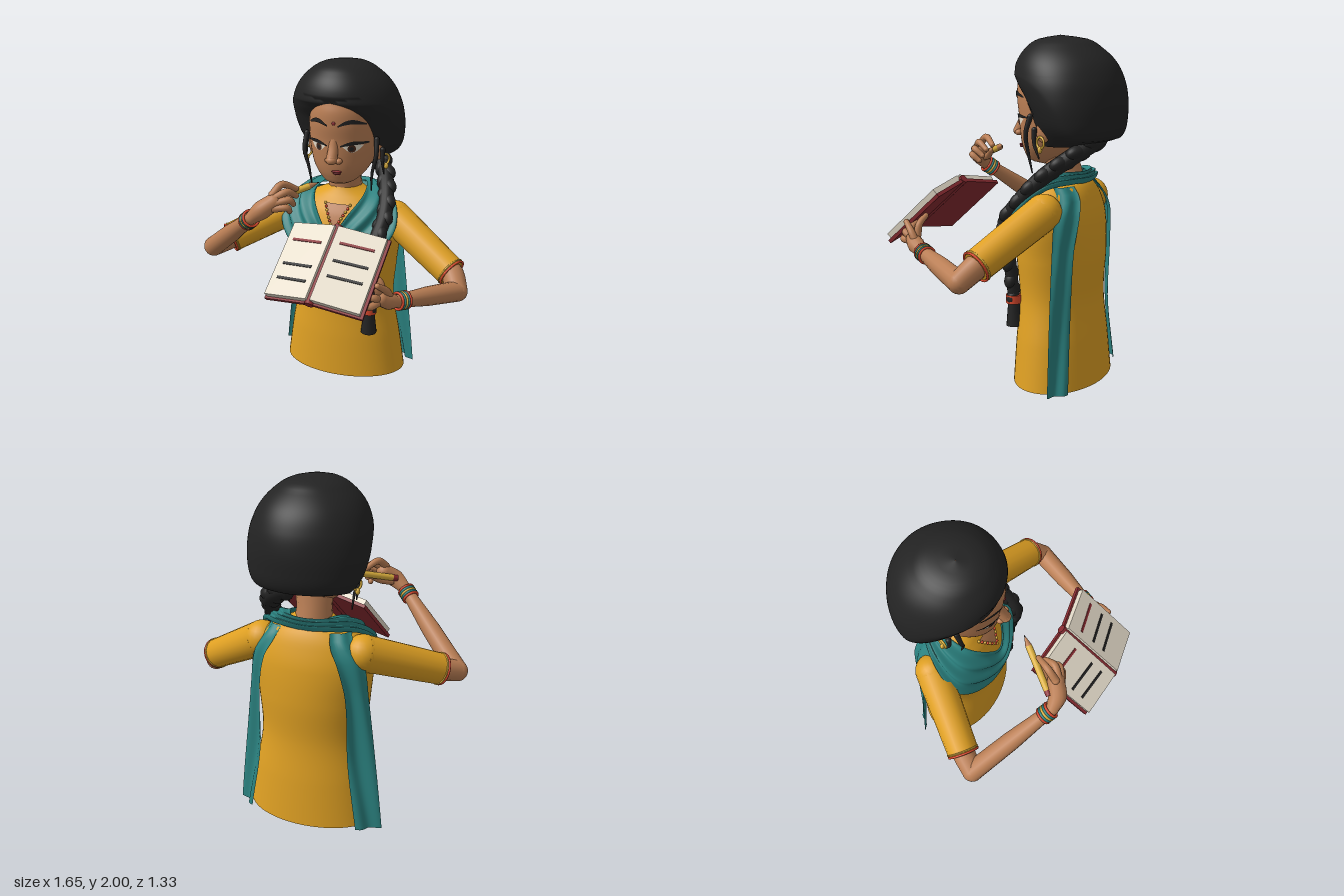
import * as THREE from 'three';
import { ParametricGeometry } from 'three/addons/geometries/ParametricGeometry.js';

const V = (x, y, z) => new THREE.Vector3(x, y, z);
const { lerp, smoothstep, clamp } = THREE.MathUtils;
const paint = (name, color, side = THREE.FrontSide) => {
  const m = new THREE.MeshStandardMaterial({ color, side });
  m.name = name;
  return m;
};

// Cross-section tables: [y, half width, front z, back z]
const TORSO = [[0, .40, -.052, -.575], [.25, .362, -.06, -.555], [.5, .32, -.072, -.532], [.75, .338, -.052, -.542],
  [.95, .355, -.07, -.53], [1.07, .32, -.11, -.5], [1.15, .24, -.16, -.465], [1.2, .13, -.19, -.42], [1.225, .095, -.2, -.4]];
const HEAD = [[1.262, .02, -.17, -.22], [1.28, .08, -.1, -.28], [1.32, .13, -.07, -.36], [1.38, .172, -.052, -.42],
  [1.46, .2, -.042, -.48], [1.55, .215, -.035, -.52], [1.65, .215, -.022, -.54], [1.75, .2, -.03, -.53],
  [1.85, .15, -.09, -.46], [1.9, .02, -.25, -.3]];
const HAIR = [[1.38, .24, -.24, -.54], [1.41, .29, -.19, -.605], [1.46, .325, -.13, -.645], [1.55, .345, -.07, -.662],
  [1.65, .347, -.025, -.664], [1.75, .33, -.012, -.645], [1.85, .285, -.025, -.595], [1.93, .21, -.075, -.51],
  [1.98, .12, -.15, -.42], [2.0, .001, -.269, -.271]];
// Hairline: [y, angle from the front]
const HAIRLINE = [[1.38, 1.75], [1.43, 1.6], [1.5, 1.38], [1.6, 1.17], [1.68, .95], [1.74, .6], [1.765, .3], [1.78, 0], [2.0, 0]];

// Smooth interpolation of a table at height y
function at(rows, y) {
  const n = rows.length - 1;
  let i = 0;
  while (i < n - 1 && y > rows[i + 1][0]) i++;
  const a = rows[i], b = rows[i + 1], h = b[0] - a[0], t = clamp((y - a[0]) / h, 0, 1);
  const p = rows[Math.max(i - 1, 0)], q = rows[Math.min(i + 2, n)];
  return a.slice(1).map((_, j) => {
    const k = j + 1, m0 = (b[k] - p[k]) / (b[0] - p[0]) * h, m1 = (q[k] - a[k]) / (q[0] - a[0]) * h;
    const t2 = t * t, t3 = t2 * t;
    return (2 * t3 - 3 * t2 + 1) * a[k] + (t3 - 2 * t2 + t) * m0 + (3 * t2 - 2 * t3) * b[k] + (t3 - t2) * m1;
  });
}
function ringPoint(rows, cx, y, a) {
  const [hx, f, b] = at(rows, y);
  return V(cx + hx * Math.sin(a), y, (f + b) / 2 + (f - b) / 2 * Math.cos(a));
}
function frontZ(rows, cx, x, y) {
  const [hx, f, b] = at(rows, y), s = clamp((x - cx) / hx, -1, 1);
  return (f + b) / 2 + (f - b) / 2 * Math.sqrt(1 - s * s);
}

export function createModel() {
  const model = new THREE.Group();
  const kurta = paint('saffron cloth', 0xdfa023), teal = paint('teal cloth', 0x2b8280, THREE.DoubleSide);
  const skin = paint('skin', 0xbb7f55), black = paint('black hair', 0x232323, THREE.DoubleSide);
  const page = paint('paper', 0xe8dfcd), maroon = paint('maroon', 0x8a2c32), coral = paint('coral', 0xd8482c);
  const gold = paint('gold', 0xdcb03e), brown = paint('brown', 0x4a2a1c);

  const add = (name, geo, mat, pos) => {
    const m = new THREE.Mesh(geo, mat);
    m.name = name;
    if (pos) m.position.copy(pos);
    model.add(m);
    return m;
  };
  const surface = (name, mat, nu, nv, f) => add(name, new ParametricGeometry((u, v, t) => t.copy(f(u, v)), nu, nv), mat);
  const loft = (name, mat, rows, cx) => surface(name, mat, 48, 48, (u, v) =>
    ringPoint(rows, cx, lerp(rows[0][0], rows.at(-1)[0], v), u * Math.PI * 2 + Math.PI));
  const ball = (name, mat, p, x, y = x, z = x) => {
    const m = add(name, new THREE.SphereGeometry(1, 20, 14), mat, p);
    m.scale.set(x, y, z);
    return m;
  };
  // Tapered tube through points, rounded at both ends
  const limb = (name, mat, pts, radii, seg = 24) => {
    const curve = new THREE.CatmullRomCurve3(pts), geo = new THREE.TubeGeometry(curve, seg, 1, 14);
    const pos = geo.attributes.position, p = V();
    for (let i = 0; i < pos.count; i++) {
      const t = Math.floor(i / 15) / seg, c = curve.getPointAt(t);
      const s = t * (radii.length - 1), k = Math.min(Math.floor(s), radii.length - 2);
      p.fromBufferAttribute(pos, i).sub(c).multiplyScalar(lerp(radii[k], radii[k + 1], s - k)).add(c);
      pos.setXYZ(i, p.x, p.y, p.z);
    }
    add(name, geo, mat);
    ball(name + 'Start', mat, pts[0], radii[0]);
    ball(name + 'End', mat, pts.at(-1), radii.at(-1));
  };
  const rod = (name, mat, p, q, r0, r1) => {
    const d = q.clone().sub(p);
    const m = add(name, new THREE.CylinderGeometry(r1, r0, d.length(), 16), mat, p.clone().add(q).multiplyScalar(.5));
    m.quaternion.setFromUnitVectors(V(0, 1, 0), d.normalize());
  };
  const ring = (name, mat, p, dir, R, r) => add(name, new THREE.TorusGeometry(R, r, 8, 28), mat, p)
    .quaternion.setFromUnitVectors(V(0, 0, 1), dir);
  // Thin face lying on a body; f(u) gives [x, lower y, upper y]
  const decal = (name, mat, rows, cx, off, f) => surface(name, mat, 20, 8, (u, v) => {
    const [x, lo, hi] = f(u), y = lerp(lo, hi + .002, v);
    return V(x, y, frontZ(rows, cx, x, y) + off);
  });

  // Torso, neck and V neckline with beads
  loft('tunic', kurta, TORSO, -.025);
  const base = add('tunicBase', new THREE.CircleGeometry(1, 48).rotateX(Math.PI / 2), kurta, V(-.025, 0, -.3135));
  base.scale.set(.4, 1, .2615);
  limb('neck', skin, [V(-.03, 1.14, -.32), V(-.03, 1.25, -.3), V(-.02, 1.38, -.28)], [.115, .1, .11]);
  decal('neckline', skin, TORSO, -.025, .012, u => [lerp(-.1, .06, u), .985 + .15 * Math.abs(2 * u - 1), 1.135]);
  for (let i = 0; i <= 16; i++) {
    const x = lerp(-.1, .06, i / 16), y = .985 + .15 * Math.abs(i / 8 - 1);
    ball('neckBead', i % 2 ? coral : gold, V(x, y, frontZ(TORSO, -.025, x, y) + .012), .009);
  }

  // Shawl: draped cowl and two tails down the back
  const loop = half => new THREE.CatmullRomCurve3([...half, ...half.slice(1, -1).reverse().map(p => [-p[0], p[1], p[2]])]
    .map(p => V(p[0] - .03, p[1], p[2])), true);
  const outer = loop([[0, .73, -.025], [.2, .8, -.055], [.36, .98, -.16], [.3, 1.15, -.33], [.17, 1.18, -.44], [0, 1.17, -.455]]);
  const inner = loop([[0, .97, -.055], [.1, 1.1, -.1], [.15, 1.19, -.2], [.135, 1.23, -.33], [.1, 1.23, -.4], [0, 1.225, -.42]]);
  surface('shawlCowl', teal, 72, 30, (u, v) => {
    const p = outer.getPoint(u).lerp(inner.getPoint(u), v);
    const d = V(p.x + .03, 0, p.z + .32).normalize(), soft = lerp(.45, 1, smoothstep(p.z, -.42, -.2));
    const b = .035 * Math.sqrt(Math.sin(Math.PI * clamp(v, 0, 1))) + .012 * Math.sin(v * 19 + Math.cos(u * 6.28) * 1.5);
    return p.addScaledVector(d, b * soft).add(V(0, b * .5, 0));
  });
  // [y, outer x, outer z, inner x, inner z]
  const TAIL = [[0, .45, -.405, .335, -.49], [.4, .412, -.4, .27, -.465], [.8, .372, -.4, .26, -.478], [1.0, .345, -.4, .22, -.495],
    [1.1, .28, -.39, .17, -.475], [1.16, .25, -.35, .15, -.43]];
  for (const s of [1, -1]) surface('shawlTail', teal, 12, 30, (u, v) => {
    const y = 1.16 * v, [xo, zo, xi, zi] = at(TAIL, y), w = .007 * Math.sin(u * 8 + y * 3);
    return V(-.032 + s * (lerp(xi, xo, u) + w) - .012 * (1 - v) * u, y, lerp(zi, zo, u) - w - .008);
  });

  // Head and face
  loft('head', skin, HEAD, -.02);
  limb('noseBridge', skin, [V(-.01, 1.57, -.062), V(-.01, 1.51, -.045), V(-.01, 1.455, -.02)], [.028, .03, .033]);
  ball('noseTip', skin, V(-.01, 1.447, -.014), .034, .027, .033);
  for (const s of [1, -1]) {
    const X = x => -.005 + s * x, lr = u => (s > 0 ? u : 1 - u);
    ball('nostril', skin, V(X(.033), 1.44, -.035), .022, .018, .024);
    ball('ear', skin, V(-.02 + s * .215, 1.47, -.28), .025, .065, .045);
    const face = (name, mat, off, f) => decal(name, mat, HEAD, -.02, off, u => {
      const k = lr(u), [x, lo, hi] = f(k, Math.sin(Math.PI * k));
      return [X(x), lo, hi];
    });
    const disc = (name, mat, off, y, r, top) => face(name, mat, off, k => {
      const h = Math.sqrt(1 - (2 * k - 1) ** 2);
      return [.1 + r * (2 * k - 1), y - r * h, Math.min(y + r * h, top)];
    });
    face('eyeWhite', page, .003, (k, a) => [lerp(.05, .155, k), 1.528 - .04 * a, 1.528 + .008 * a]);
    disc('iris', brown, .005, 1.511, .021, 1.533);
    disc('pupil', black, .007, 1.511, .011, 1.53);
    face('lashLine', black, .008, (k, a) => [lerp(.04, .178, k), 1.524 + .007 * a + .012 * k * k, 1.529 + .022 * a + .014 * k * k]);
    face('eyebrow', black, .008, (k, a) => [lerp(.032, .168, k), 1.645 + .014 * a + .004 * k, 1.651 + .032 * a + .004 * k]);
    // Earring and loose locks
    ring('earringHoop', gold, V(-.02 + s * .255, 1.41, -.28), V(1, 0, .5).normalize(), .032, .007);
    ball('earringDrop', gold, V(-.02 + s * .26, 1.37, -.28), .014, .02, .014);
    limb('looseLock', black, [V(-.02 + s * .225, 1.55, -.2), V(-.02 + s * .23, 1.45, -.175), V(-.02 + s * .205, 1.34, -.18), V(-.02 + s * .195, 1.23, -.2)], [.016, .013, .009, .004]);
    limb('looseLock', black, [V(-.02 + s * .25, 1.48, -.24), V(-.02 + s * .25, 1.4, -.24), V(-.02 + s * .25, 1.32, -.27)], [.016, .01, .004]);
  }
  ball('foreheadDot', maroon, V(0, 1.665, frontZ(HEAD, -.02, 0, 1.665)), .011, .011, .006);
  ball('upperLip', maroon, V(.008, 1.37, -.05), .032, .007, .015);
  ball('lowerLip', maroon, V(.01, 1.359, -.052), .024, .008, .016);

  // Hair: a full cap rounding in to the hairline
  surface('hair', black, 96, 56, (u, v) => {
    const y = lerp(1.38, 2, v), phi = Math.max(0, at(HAIRLINE, y)[0]), a = lerp(phi, 2 * Math.PI - phi, u);
    const e = 1 - clamp(Math.min(u, 1 - u) / .14, 0, 1);
    let f = Math.max(Math.sqrt(1 - e * e), smoothstep(y, 1.755, 1.82));
    f *= Math.sqrt(clamp((y - 1.375) / .05, 0, 1)) * (1 + .02 * Math.sin(5 * a + 7 * y) * Math.sin(Math.PI * v));
    return ringPoint(HEAD, -.02, Math.min(y, 1.85), a).setY(y).lerp(ringPoint(HAIR, -.033, y, a), f);
  });

  // Braid over the left shoulder, with tie and tassel
  const braid = [V(.04, 1.42, -.54), V(.16, 1.34, -.45), V(.24, 1.22, -.3), V(.27, 1.08, -.17), V(.25, .93, -.06), V(.23, .7, -.085), V(.21, .5, -.1)];
  limb('braidCore', black, braid, [.05, .045, .034], 40);
  const path = new THREE.CatmullRomCurve3(braid);
  for (let i = 0; i < 24; i++) {
    const t = i / 23, p = path.getPointAt(t), d = path.getTangentAt(t), s = i % 2 ? 1 : -1, r = lerp(.05, .036, t);
    const side = V(1, 0, .3).addScaledVector(d, -d.dot(V(1, 0, .3))).normalize();
    ball('braidLock', black, p.addScaledVector(side, s * .014), r * .88, r * 1.35, r)
      .quaternion.setFromUnitVectors(V(0, 1, 0), d.addScaledVector(side, s * .5).normalize());
  }
  rod('braidTie', coral, V(.21, .46, -.1), V(.21, .51, -.1), .046, .046);
  rod('braidTassel', black, V(.207, .325, -.105), V(.21, .46, -.1), .05, .034);

  // Arms with sleeves, trims and bangles: shoulder, cuff, elbow, wrist
  for (const [sh, cuff, elbow, wrist] of [
    [V(-.34, 1.04, -.34), V(-.69, .87, .0), V(-.765, .835, .09), V(-.325, 1.19, .405)],
    [V(.29, 1.03, -.33), V(.71, .795, -.145), V(.765, .715, -.075), V(.515, .785, .335)]]) {
    const d = cuff.clone().sub(sh).normalize(), f = wrist.clone().sub(elbow).normalize();
    rod('sleeve', kurta, sh, cuff, .105, .092);
    ball('shoulder', kurta, sh, .105);
    ring('cuffTrim', coral, cuff, d, .09, .007);
    ring('cuffPiping', gold, cuff.clone().addScaledVector(d, -.014), d, .092, .005);
    limb('upperArm', skin, [cuff.clone().addScaledVector(d, -.05), cuff, elbow], [.07, .068, .062]);
    limb('forearm', skin, [elbow, elbow.clone().lerp(wrist, .4), wrist], [.062, .056, .036]);
    [coral, teal, gold, teal, coral].forEach((m, i) =>
      ring('bangle', m, wrist.clone().addScaledVector(f, -.075 + i * .015), f, .047, .008));
  }
  // Hands: palm path, then four fingers and a thumb
  limb('rightPalm', skin, [V(-.325, 1.19, .405), V(-.26, 1.245, .405), V(-.2, 1.29, .37)], [.038, .055, .05]);
  limb('leftPalm', skin, [V(.515, .785, .335), V(.49, .81, .39), V(.46, .835, .43)], [.036, .05, .042]);
  const finger = (...p) => limb('finger', skin, p.map(q => V(...q)), [.023, .021, .016], 12);
  finger([-.21, 1.33, .37], [-.18, 1.375, .31], [-.125, 1.335, .235]);
  finger([-.19, 1.315, .38], [-.135, 1.345, .335], [-.11, 1.305, .27]);
  finger([-.18, 1.29, .39], [-.115, 1.305, .355], [-.115, 1.265, .3]);
  finger([-.19, 1.26, .4], [-.12, 1.265, .375], [-.125, 1.23, .33]);
  finger([-.25, 1.24, .36], [-.2, 1.255, .31], [-.14, 1.3, .25]);
  finger([.46, .86, .4], [.44, .92, .4], [.37, .96, .4]);
  finger([.45, .85, .43], [.44, .9, .45], [.36, .915, .45]);
  finger([.45, .84, .45], [.44, .865, .5], [.36, .865, .5]);
  finger([.45, .82, .46], [.43, .82, .52], [.36, .83, .54]);
  finger([.5, .82, .38], [.49, .88, .42], [.455, .93, .48]);

  // Pencil
  const p0 = V(-.285, 1.262, .365), p1 = V(-.035, 1.347, .11), along = t => p0.clone().lerp(p1, t);
  rod('pencilEraser', maroon, p0, along(.09), .019, .019);
  rod('pencilBody', gold, along(.09), along(.82), .02, .02);
  rod('pencilWood', skin, along(.82), along(.96), .02, .005);
  rod('pencilLead', black, along(.96), p1, .005, .001);

  // Open book: two boards with page blocks and ruled marks
  const up = V(.025, .305, -.355).normalize(), mid = V(.138, 1.028, .488);
  const half = (s, xAxis, marks) => {
    const x = xAxis.normalize(), n = x.clone().cross(up).normalize(), g = new THREE.Group();
    g.name = 'bookHalf';
    g.applyMatrix4(new THREE.Matrix4().makeBasis(x, n.clone().cross(x), n).setPosition(mid));
    const box = (name, mat, w, h, d, px, py, pz) => {
      const m = add(name, new THREE.BoxGeometry(w, h, d), mat, V(px, py, pz));
      g.add(m);
      return m;
    };
    box('pages', page, .285, .465, .035, s * .155, 0, -.0175);
    box('cover', maroon, .31, .49, .022, s * .16, 0, -.046);
    marks.forEach((t, i) => { box('mark', i ? black : maroon, .2, .015, .006, s * .155, .2275 - .455 * t, .002).rotation.z = s * .04; });
    model.add(g);
  };
  half(-1, V(.285, .045, .065), [.24, .58, .78]);
  half(1, V(.295, -.045, -.015), [.2, .44, .65]);
  const back = V(0, -.032, -.028).add(mid);
  rod('bookSpine', maroon, back.clone().addScaledVector(up, -.25), back.clone().addScaledVector(up, .25), .026, .026);
  return model;
}
